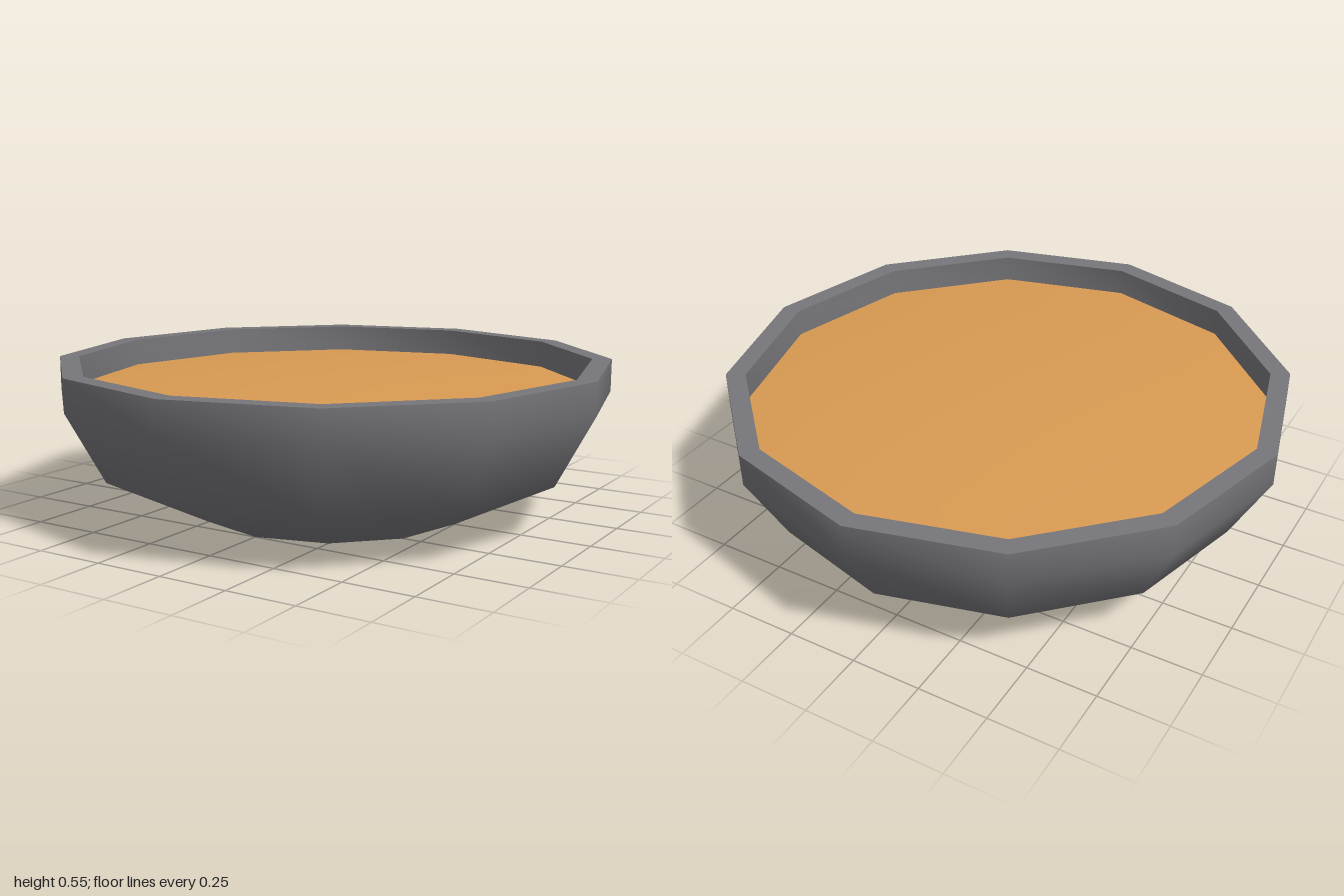
import * as THREE from 'three';
import { toCreasedNormals } from 'three/addons/utils/BufferGeometryUtils.js';

const SIDES = 12;

// Turns a profile of [radius, height] pairs, smooth except at hard corners
function turned(name, profile, color) {
  const points = profile.map(([r, y]) => new THREE.Vector2(r, y));
  const geometry = toCreasedNormals(new THREE.LatheGeometry(points, SIDES), 0.8);
  const mesh = new THREE.Mesh(geometry, new THREE.MeshStandardMaterial({ color }));
  mesh.name = name;
  return mesh;
}

export function createModel() {
  const group = new THREE.Group();
  group.name = 'filledBowl';

  // Bowl: flat base, rounded flank, flat rim and short inner wall
  group.add(turned('bowl', [
    [0, 0], [0.5, 0], [0.866, 0.183], [1, 0.433],
    [1, 0.55], [0.93, 0.55], [0.93, 0.44],
  ], 0x77777b));

  // Filling: very shallow dome just below the rim
  const filling = [];
  for (let i = 0; i <= 4; i++) {
    const t = 1 - i / 4;
    filling.push([0.93 * t, 0.45 + 0.04 * (1 - t * t)]);
  }
  group.add(turned('filling', filling, 0xd99a52));

  return group;
}
